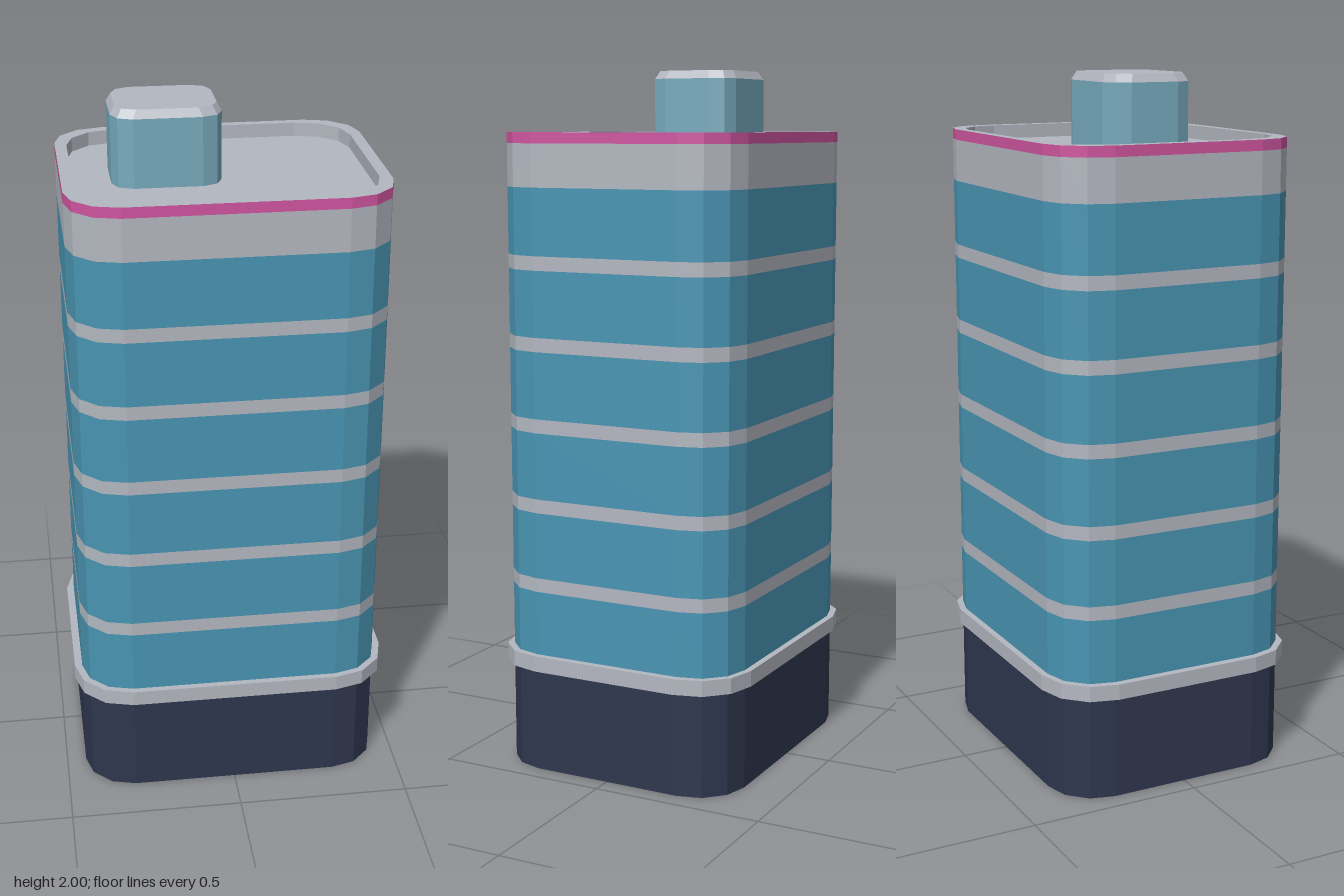
import * as THREE from 'three';

const mat = (name, color) => {
  const m = new THREE.MeshStandardMaterial({ color, flatShading: true });
  m.name = name;
  return m;
};

// Rounded rectangle outline: half width, half depth, corner radius
function outline([hx, hz, r], y, seg) {
  const pts = [];
  for (let c = 0; c < 4; c++) {
    const sx = c === 0 || c === 3 ? 1 : -1;
    const sz = c < 2 ? 1 : -1;
    for (let i = 0; i <= seg; i++) {
      const a = (c + i / seg) * Math.PI / 2;
      pts.push(new THREE.Vector3(sx * (hx - r) + r * Math.cos(a), y, sz * (hz - r) + r * Math.sin(a)));
    }
  }
  return pts;
}

// Surface through a sequence of [outline, y] steps; the CENTRE outline closes a cap
function loft(steps, seg) {
  const rings = steps.map(([size, y]) => outline(size, y, seg));
  const pos = [];
  const tri = (a, b, c) => {
    if (new THREE.Triangle(a, b, c).getArea() > 1e-9) for (const p of [a, b, c]) pos.push(p.x, p.y, p.z);
  };
  for (let k = 0; k < rings.length - 1; k++) {
    const lo = rings[k], hi = rings[k + 1], n = lo.length;
    for (let i = 0; i < n; i++) {
      const j = (i + 1) % n;
      tri(lo[i], hi[i], hi[j]);
      tri(lo[i], hi[j], lo[j]);
    }
  }
  const g = new THREE.BufferGeometry();
  g.setAttribute('position', new THREE.Float32BufferAttribute(pos, 3));
  g.computeVertexNormals();
  return g;
}

export function createModel() {
  const group = new THREE.Group();
  const concrete = mat('concrete grey', 0xb3b7c0);
  const glass = mat('window teal', 0x4995b3);
  const navy = mat('base navy', 0x2f374f);
  const pink = mat('trim pink', 0xcf559f);
  const paleTeal = mat('roof house teal', 0x78abbd);

  const CENTRE = [0, 0, 0];
  const BODY = [0.443, 0.366, 0.142];
  const LEDGE = [0.465, 0.385, 0.163];
  const INNER = [0.41, 0.338, 0.14];

  const add = (name, material, steps, seg = 3) => {
    const mesh = new THREE.Mesh(loft(steps, seg), material);
    mesh.name = name;
    group.add(mesh);
    return mesh;
  };

  // Ground floor and ledge
  add('base', navy, [[CENTRE, 0], [BODY, 0], [BODY, 0.3]]);
  add('ledge', concrete, [[BODY, 0.3], [LEDGE, 0.3], [LEDGE, 0.345], [BODY, 0.345]]);

  // Six window storeys with slabs between them
  const slabs = [0.53, 0.76, 0.99, 1.22, 1.447, 1.675];
  let y = 0.345;
  slabs.forEach((slabY, i) => {
    add('windowBand' + (i + 1), glass, [[BODY, y], [BODY, slabY]]);
    y = i < 5 ? slabY + 0.04 : 1.795;
    add(i < 5 ? 'floorSlab' + (i + 1) : 'topFascia', concrete, [[BODY, slabY], [BODY, y]]);
  });

  // Trim, parapet rim and sunken roof
  add('roofTrim', pink, [[BODY, 1.795], [BODY, 1.825]]);
  add('parapetAndRoof', concrete, [[BODY, 1.825], [INNER, 1.825], [INNER, 1.785], [CENTRE, 1.785]]);

  // Roof house with a bevelled cap
  const HOUSE = [0.152, 0.129, 0.058];
  const CAP = [0.139, 0.117, 0.055];
  const house = [
    add('roofHouseWalls', paleTeal, [[HOUSE, 1.785], [HOUSE, 1.977]], 2),
    add('roofHouseCap', concrete, [[HOUSE, 1.977], [CAP, 2], [CENTRE, 2]], 2),
  ];
  house.forEach((m) => m.position.set(-0.149, 0, -0.031));

  return group;
}
